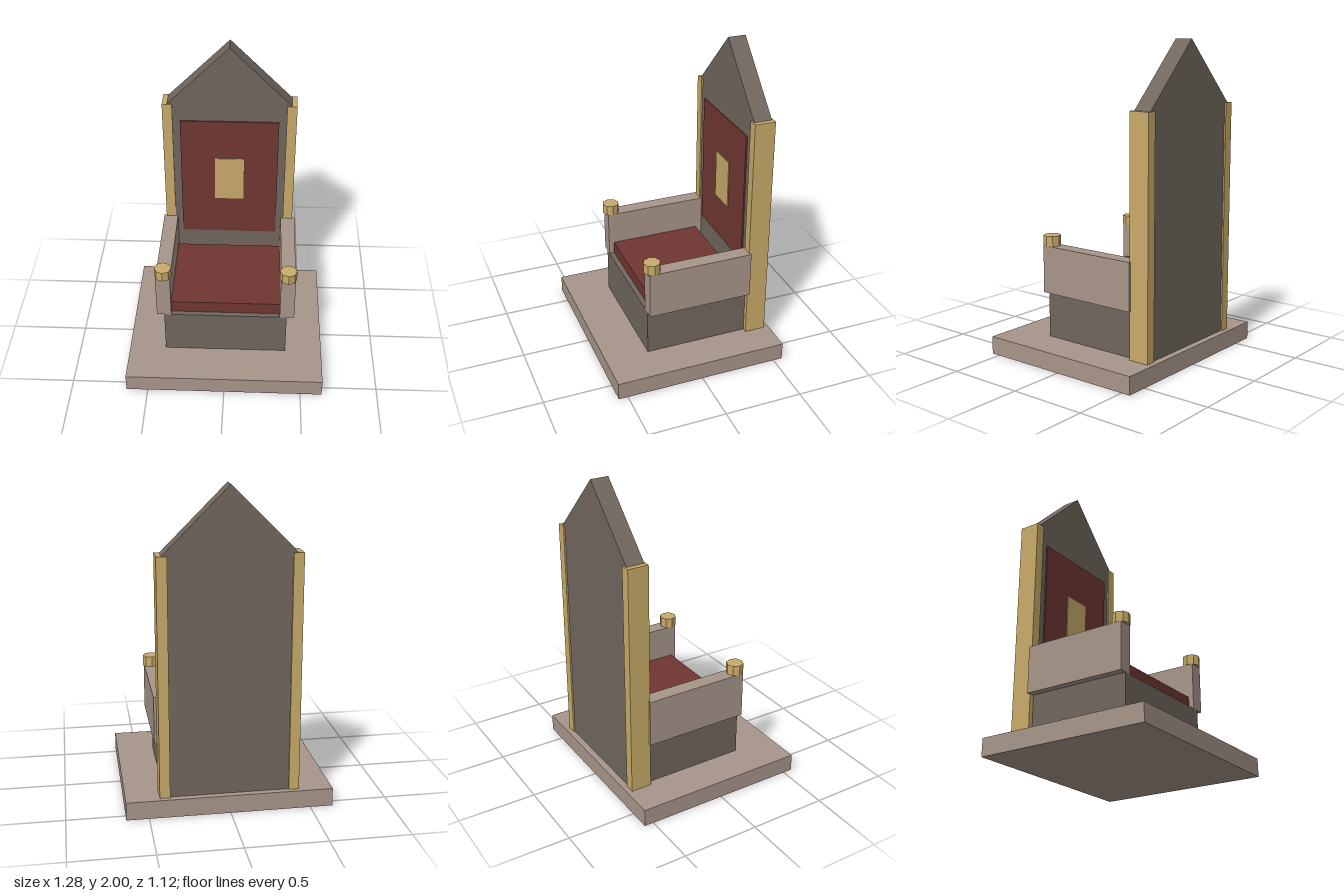
import * as THREE from 'three';

const material = (color) => new THREE.MeshStandardMaterial({ color, flatShading: true });

export function createModel() {
  const throne = new THREE.Group();
  throne.name = 'throne';

  const paleStone = material(0xa8968a);
  const darkStone = material(0x71675e);
  const redCloth = material(0x703732);
  const gold = material(0xc9ab6a);

  const add = (name, geometry, mat) => {
    const mesh = new THREE.Mesh(geometry, mat);
    mesh.name = name;
    throne.add(mesh);
    return mesh;
  };

  // Box given by its extents along each axis
  const box = (name, mat, [x0, x1], [y0, y1], [z0, z1]) => {
    const mesh = add(name, new THREE.BoxGeometry(x1 - x0, y1 - y0, z1 - z0), mat);
    mesh.position.set((x0 + x1) / 2, (y0 + y1) / 2, (z0 + z1) / 2);
    return mesh;
  };

  const floor = 0.114;
  const seatTop = 0.416;
  const armTop = 0.718;

  // Plinth, seat block and cushion
  box('plinth', paleStone, [-0.64, 0.64], [0, floor], [-0.56, 0.56]);
  box('seatBlock', darkStone, [-0.4, 0.4], [floor, seatTop], [-0.402, 0.28]);
  box('seatCushion', redCloth, [-0.354, 0.354], [seatTop, 0.498], [-0.36, 0.247]);

  // Backrest slab with a gabled top
  const outline = new THREE.Shape([
    new THREE.Vector2(-0.4, floor),
    new THREE.Vector2(0.4, floor),
    new THREE.Vector2(0.4, 1.6),
    new THREE.Vector2(0, 2),
    new THREE.Vector2(-0.4, 1.6),
  ]);
  const slab = new THREE.ExtrudeGeometry(outline, { depth: 0.116, bevelEnabled: false });
  add('backrest', slab, darkStone).position.z = -0.518;

  // Upholstered panel and its plain gold plate
  box('backPanel', redCloth, [-0.32, 0.32], [0.6, 1.48], [-0.41, -0.393]);
  box('goldPlate', gold, [-0.096, 0.096], [0.88, 1.2], [-0.4, -0.388]);

  // Mirrored posts, armrests and armrest knobs
  for (const [side, s] of [['left', 1], ['right', -1]]) {
    const span = (a, b) => (s > 0 ? [a, b] : [-b, -a]);
    box(side + 'Post', gold, span(0.368, 0.432), [floor, 1.6], [-0.528, -0.393]);
    box(side + 'Armrest', paleStone, span(0.354, 0.448), [seatTop, armTop], [-0.402, 0.28]);
    const knob = add(side + 'Knob', new THREE.CylinderGeometry(0.055, 0.055, 0.065, 8), gold);
    knob.position.set(s * 0.4, armTop + 0.0325, 0.248);
  }

  return throne;
}
